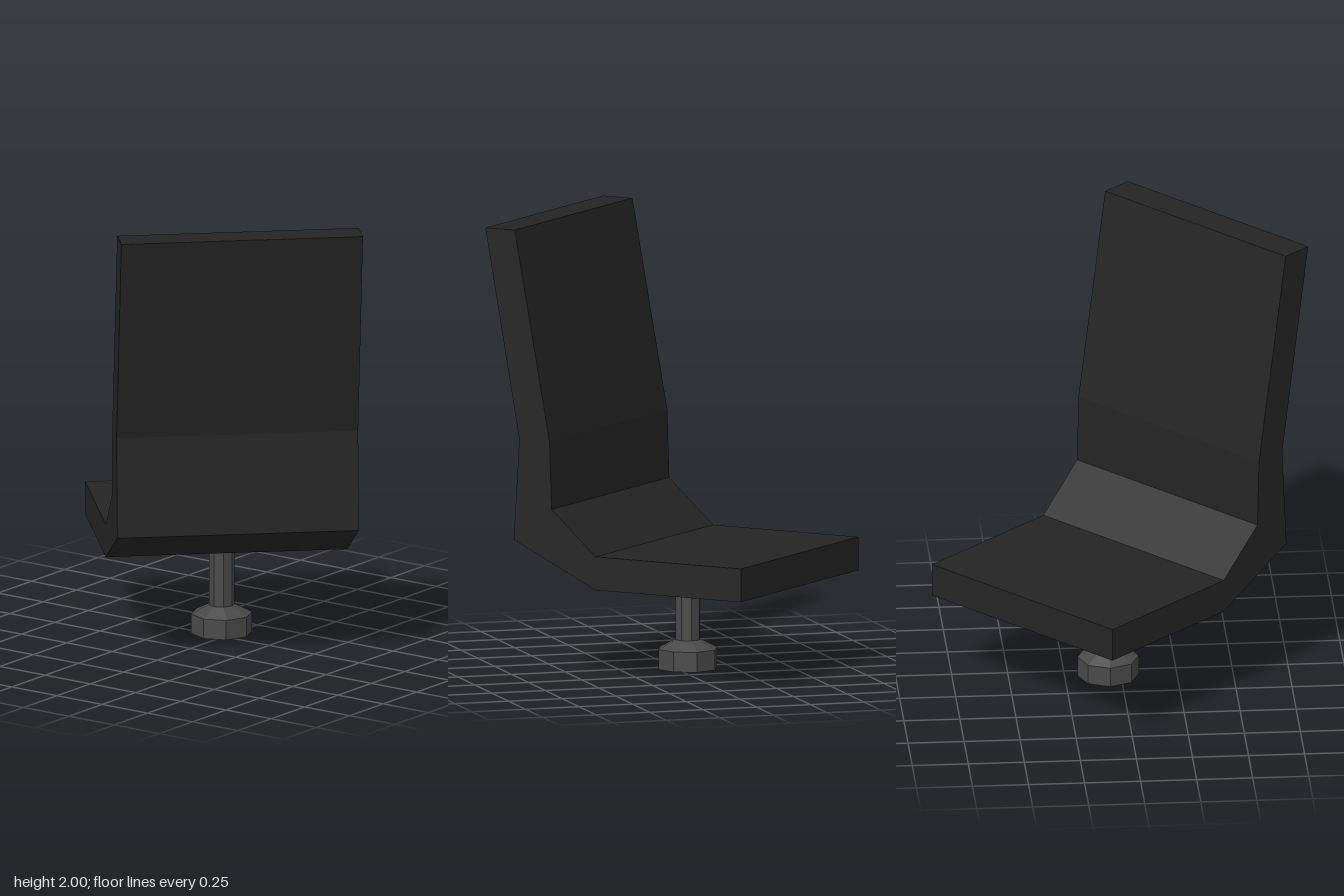
import * as THREE from 'three';

export function createModel() {
  const model = new THREE.Group();
  model.name = 'chair';

  const upholstery = new THREE.MeshStandardMaterial({ color: 0x242424, flatShading: true });
  upholstery.name = 'black upholstery';
  const metal = new THREE.MeshStandardMaterial({ color: 0x484848, flatShading: true });
  metal.name = 'dark grey metal';

  // Seat and backrest: one bent side profile, extruded across the width
  const width = 1.083;
  const profile = [
    [0.647, 0.41], [0.647, 0.56], [-0.092, 0.56], [-0.315, 0.757],
    [-0.325, 1.06], [-0.502, 2], [-0.651, 2], [-0.479, 1.06],
    [-0.507, 0.607], [-0.093, 0.41],
  ].map(([x, y]) => new THREE.Vector2(x, y));
  const seatGeometry = new THREE.ExtrudeGeometry(new THREE.Shape(profile), {
    depth: width, bevelEnabled: false,
  });
  seatGeometry.translate(0, 0, -width / 2);
  const seat = new THREE.Mesh(seatGeometry, upholstery);
  seat.name = 'seatAndBackrest';
  seat.rotation.y = THREE.MathUtils.degToRad(43.6);
  model.add(seat);

  // Octagonal pedestal: foot, sloped shoulder and stem
  const outline = [
    [0, 0], [0.137, 0], [0.137, 0.09], [0.058, 0.13], [0.058, 0.412],
  ].map(([r, y]) => new THREE.Vector2(r, y));
  const pedestal = new THREE.Mesh(new THREE.LatheGeometry(outline, 8), metal);
  pedestal.name = 'pedestal';
  pedestal.position.set(0.056, 0, -0.054);
  model.add(pedestal);

  return model;
}
